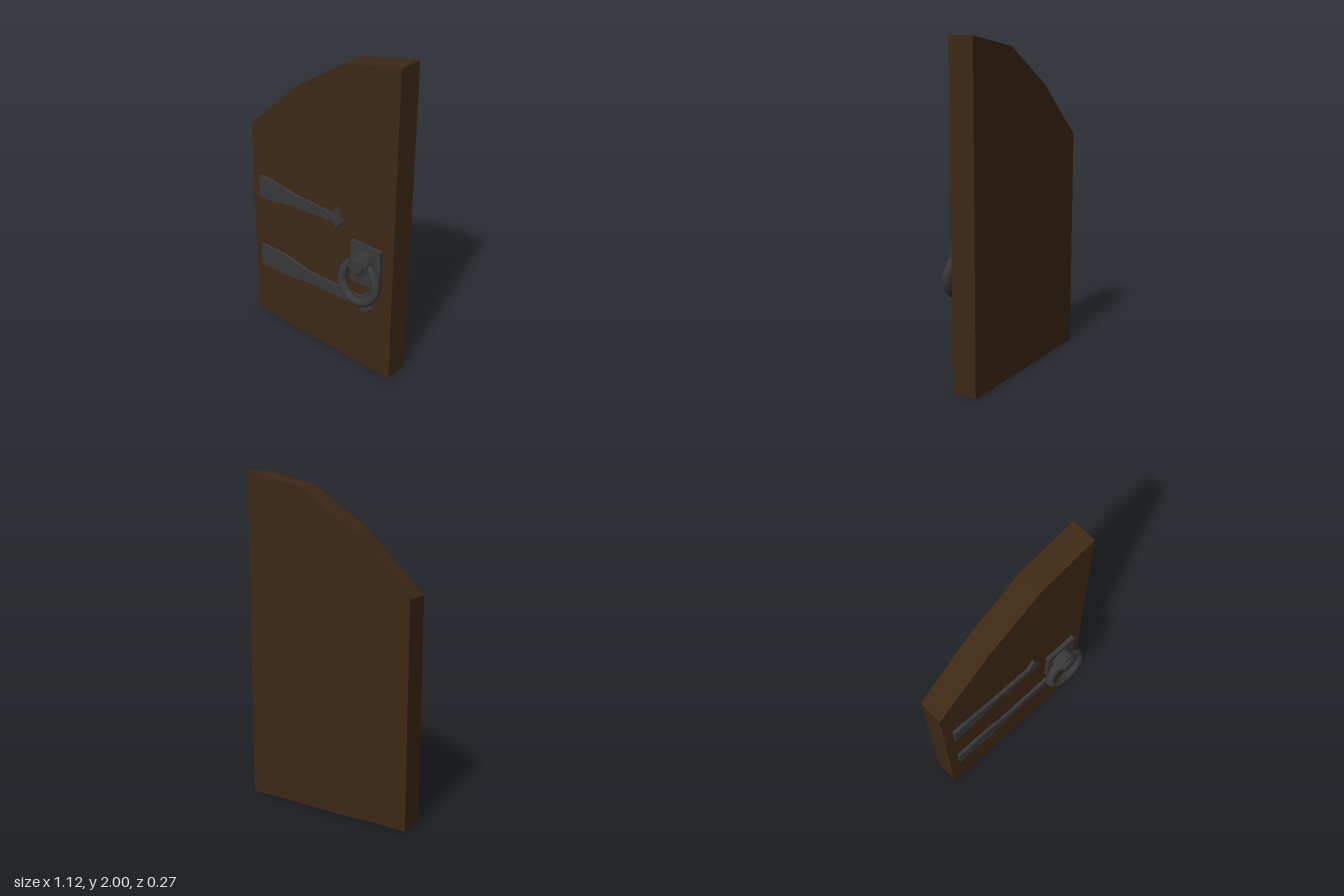
import * as THREE from 'three';

const wood = new THREE.MeshStandardMaterial({ color: 0x3d2815, flatShading: true });
const iron = new THREE.MeshStandardMaterial({ color: 0x383838, flatShading: true });
const smoothIron = new THREE.MeshStandardMaterial({ color: 0x383838 });

const FACE = 0.017; // z of the door's front face

// Flat outline extruded from z0 to z1
function slab(name, points, z0, z1, material) {
  const shape = new THREE.Shape(points.map(([x, y]) => new THREE.Vector2(x, y)));
  const geometry = new THREE.ExtrudeGeometry(shape, { depth: z1 - z0, bevelEnabled: false });
  geometry.translate(0, 0, z0);
  const mesh = new THREE.Mesh(geometry, material);
  mesh.name = name;
  return mesh;
}

export function createModel() {
  const door = new THREE.Group();
  door.name = 'door';

  // Door leaf with a faceted half arch on top
  door.add(slab('doorLeaf', [
    [-0.55, 0.003], [-0.26, 0.003], [-0.26, 0], [0.557, 0], [0.557, 2],
    [0.18, 1.93], [-0.19, 1.695], [-0.558, 1.355],
  ], -0.137, FACE, wood));

  // Tapered hinge straps with arrow tips
  door.add(slab('upperHingeStrap', [
    [-0.49, 0.885], [-0.40, 0.885], [-0.22, 0.915], [-0.1, 0.92], [0.1, 0.94], [0.14, 0.905],
    [0.19, 0.96], [0.145, 1.05], [0.1, 0.99], [-0.21, 1.003], [-0.41, 1.03], [-0.49, 1.03],
  ], FACE - 0.01, 0.037, iron));
  door.add(slab('lowerHingeStrap', [
    [-0.487, 0.388], [-0.28, 0.388], [-0.07, 0.422], [0.33, 0.433], [0.37, 0.405],
    [0.425, 0.46], [0.38, 0.565], [0.33, 0.505], [-0.08, 0.5], [-0.28, 0.535], [-0.487, 0.535],
  ], FACE - 0.01, 0.037, iron));

  // Knocker: back plate, stepped boss and hanging ring
  const knocker = new THREE.Group();
  knocker.name = 'knocker';
  knocker.add(slab('backPlate', [
    [0.262, 0.608], [0.482, 0.608], [0.482, 0.875], [0.262, 0.875],
  ], FACE - 0.01, 0.043, iron));

  const profile = [[0, 0.03], [0.069, 0.03], [0.069, 0.11], [0.053, 0.115], [0.053, 0.127], [0.043, 0.132], [0, 0.132]];
  const boss = new THREE.Mesh(
    new THREE.LatheGeometry(profile.map(([r, z]) => new THREE.Vector2(r, z)), 20).rotateX(Math.PI / 2), iron);
  boss.name = 'boss';
  boss.position.set(0.368, 0.777, 0);
  knocker.add(boss);

  const ring = new THREE.Mesh(new THREE.TorusGeometry(0.125, 0.028, 12, 40), smoothIron);
  ring.name = 'ring';
  ring.position.set(0.367, 0.655, 0.09);
  ring.rotation.x = -0.14;
  knocker.add(ring);

  door.add(knocker);
  return door;
}
